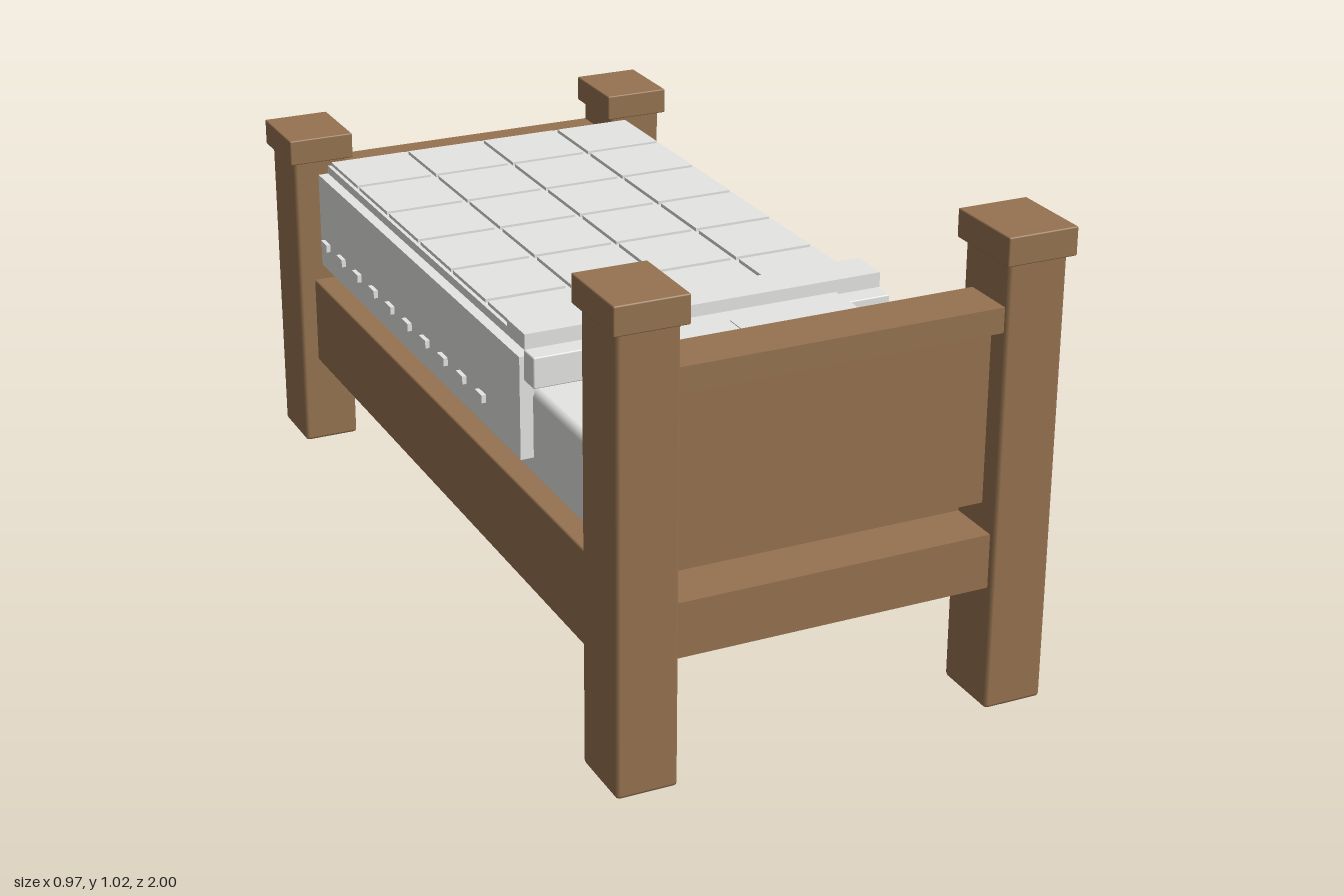
import * as THREE from 'three';
import { RoundedBoxGeometry } from 'three/addons/geometries/RoundedBoxGeometry.js';

export function createModel() {
  const bed = new THREE.Group();
  bed.name = 'bed';
  const wood = new THREE.MeshStandardMaterial({ color: 0x967350 });
  wood.name = 'brown wood';
  const linen = new THREE.MeshStandardMaterial({ color: 0xe6e6e4 });
  linen.name = 'pale grey linen';

  // Box given by its limits on each axis, with an optional softened edge
  function box(name, mat, [x0, x1], [y0, y1], [z0, z1], bevel = 0) {
    const size = [x1 - x0, y1 - y0, z1 - z0];
    const geo = bevel
      ? new RoundedBoxGeometry(...size, 1, bevel)
      : new THREE.BoxGeometry(...size);
    const mesh = new THREE.Mesh(geo, mat);
    mesh.name = name;
    mesh.position.set((x0 + x1) / 2, (y0 + y1) / 2, (z0 + z1) / 2);
    bed.add(mesh);
  }
  const around = (c, half) => [c - half, c + half];

  // Four capped posts with square pegs on their rear faces
  for (const [end, z, h] of [['head', 0.907, 0.965], ['foot', -0.907, 0.718]]) {
    for (const s of [-1, 1]) {
      const x = s * 0.41;
      box(end + 'Post', wood, around(x, 0.065), [0, h + 0.01], around(z, 0.079), 0.008);
      box(end + 'PostCap', wood, around(x, 0.077), [h, h + 0.06], around(z, 0.093), 0.003);
      for (const y of [0.205, 0.515]) {
        box('peg', wood, around(x, 0.016), around(y, 0.016), around(z - 0.079, 0.01));
      }
    }
  }

  // Head and foot boards: top rail, panel, lower rail and five raised panels
  const span = [-0.346, 0.346];
  const boards = [
    { end: 'head', rail: [0.86, 0.978], panel: [0.875, 0.935], low: [0.835, 0.97], top: [0.822, 0.875], face: [0.443, 0.81], raised: [0.47, 0.778] },
    { end: 'foot', rail: [-0.983, -0.86], panel: [-0.945, -0.88], low: [-0.97, -0.845], top: [0.59, 0.672], face: [0.43, 0.59], raised: [0.455, 0.565] },
  ];
  for (const b of boards) {
    box(b.end + 'TopRail', wood, span, b.top, b.rail);
    box(b.end + 'Panel', wood, span, b.face, b.panel);
    box(b.end + 'LowerRail', wood, span, [0.27, 0.388], b.low);
    for (let i = -2; i <= 2; i++) {
      box(b.end + 'RaisedPanel', wood, around(i * 0.132, 0.054), b.raised, around(b.panel[0], 0.012));
    }
  }

  // Side rails, base and the square blocks along one rail
  for (const s of [-1, 1]) {
    box('sideRail', wood, around(s * 0.401, 0.035), [0.21, 0.418], [-0.84, 0.84], 0.004);
  }
  box('base', wood, [-0.37, 0.37], [0.34, 0.41], [-0.85, 0.85]);
  for (let i = 0; i < 8; i++) {
    box('railBlock', wood, [0.43, 0.444], around(0.315, 0.046), around(-0.735 + i * 0.195, 0.05));
  }

  // Mattress, blanket with its top layer, and hanging blanket sides
  box('mattress', linen, [-0.387, 0.387], [0.405, 0.606], [-0.83, 0.825], 0.016);
  box('blanket', linen, [-0.386, 0.386], [0.6, 0.68], [-0.835, 0.385]);
  box('blanketTop', linen, [-0.392, 0.392], [0.68, 0.701], [-0.846, 0.385]);
  for (const s of [-1, 1]) {
    box('blanketSide', linen, around(s * 0.4, 0.016), [0.455, 0.682], [-0.835, 0.392]);
    // Stitches along the hanging side
    for (let i = 0; i < 10; i++) {
      box('stitch', linen, around(s * 0.415, 0.011), around(0.518, 0.009), around(0.19 - i * 0.108, 0.019));
    }
  }

  // Quilted squares on the blanket
  for (let row = 0; row < 6; row++) {
    for (let col = 0; col < 4; col++) {
      box('quiltSquare', linen, around((col - 1.5) * 0.195, 0.091), [0.7, 0.709],
        around(-0.735 + row * 0.195, 0.091));
    }
  }

  // Turned-down edge of the blanket
  box('blanketFold', linen, [-0.407, 0.407], [0.7, 0.733], [0.308, 0.4]);
  box('foldEdge', linen, [-0.407, 0.407], [0.63, 0.698], [0.392, 0.444], 0.003);

  // Pillow with raised middle and thin crease
  box('pillow', linen, [-0.295, 0.295], [0.608, 0.705], [0.43, 0.755], 0.004);
  box('pillowTop', linen, [-0.268, 0.268], [0.705, 0.733], [0.46, 0.727]);
  box('pillowCrease', linen, [-0.003, 0.003], [0.73, 0.735], [0.51, 0.68]);

  return bed;
}
